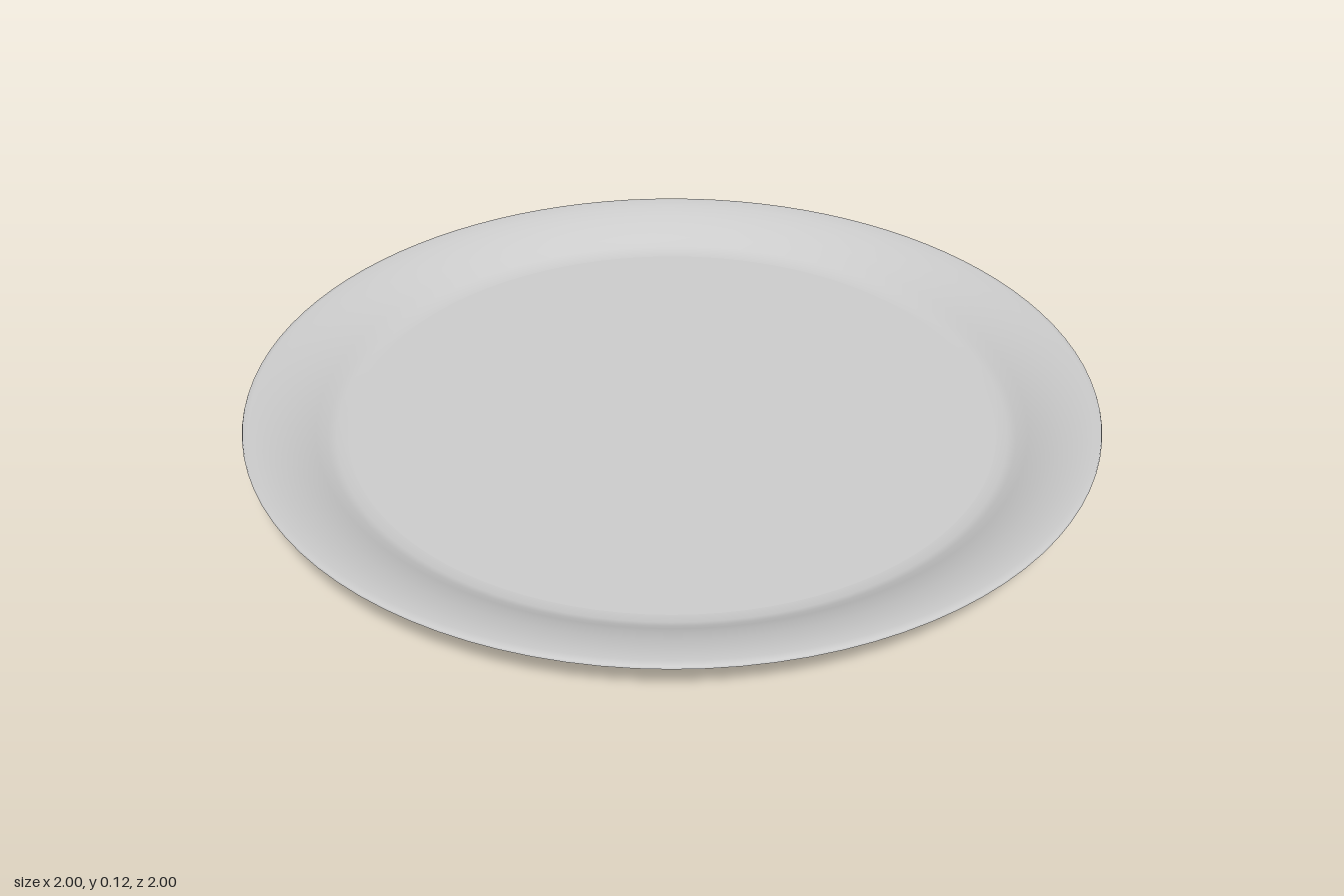
import * as THREE from 'three';

const SEGMENTS = 96;

export function createModel() {
  const plate = new THREE.Group();
  plate.name = 'plate';
  const material = new THREE.MeshStandardMaterial({ color: 0xcccccc, side: THREE.DoubleSide });

  // Turns a profile of [radius, height] points around the y axis
  const addTurned = (name, profile) => {
    const points = profile.map(([r, y]) => new THREE.Vector2(r, y));
    const mesh = new THREE.Mesh(new THREE.LatheGeometry(points, SEGMENTS), material);
    mesh.name = name;
    plate.add(mesh);
  };

  // Flat underside
  addTurned('underside', [[0, 0], [0.84, 0]]);

  // Straight flared wall up to the lip
  addTurned('outerWall', [[0.84, 0], [1, 0.117]]);

  // Rounded lip, gently domed rim and hollow running into the floor
  addTurned('rim', [
    [1, 0.117], [0.998, 0.122], [0.985, 0.125], [0.95, 0.12], [0.91, 0.109],
    [0.87, 0.092], [0.84, 0.075], [0.815, 0.06], [0.795, 0.052], [0.77, 0.05],
  ]);

  // Flat eating surface
  addTurned('floor', [[0.77, 0.05], [0, 0.05]]);

  return plate;
}
